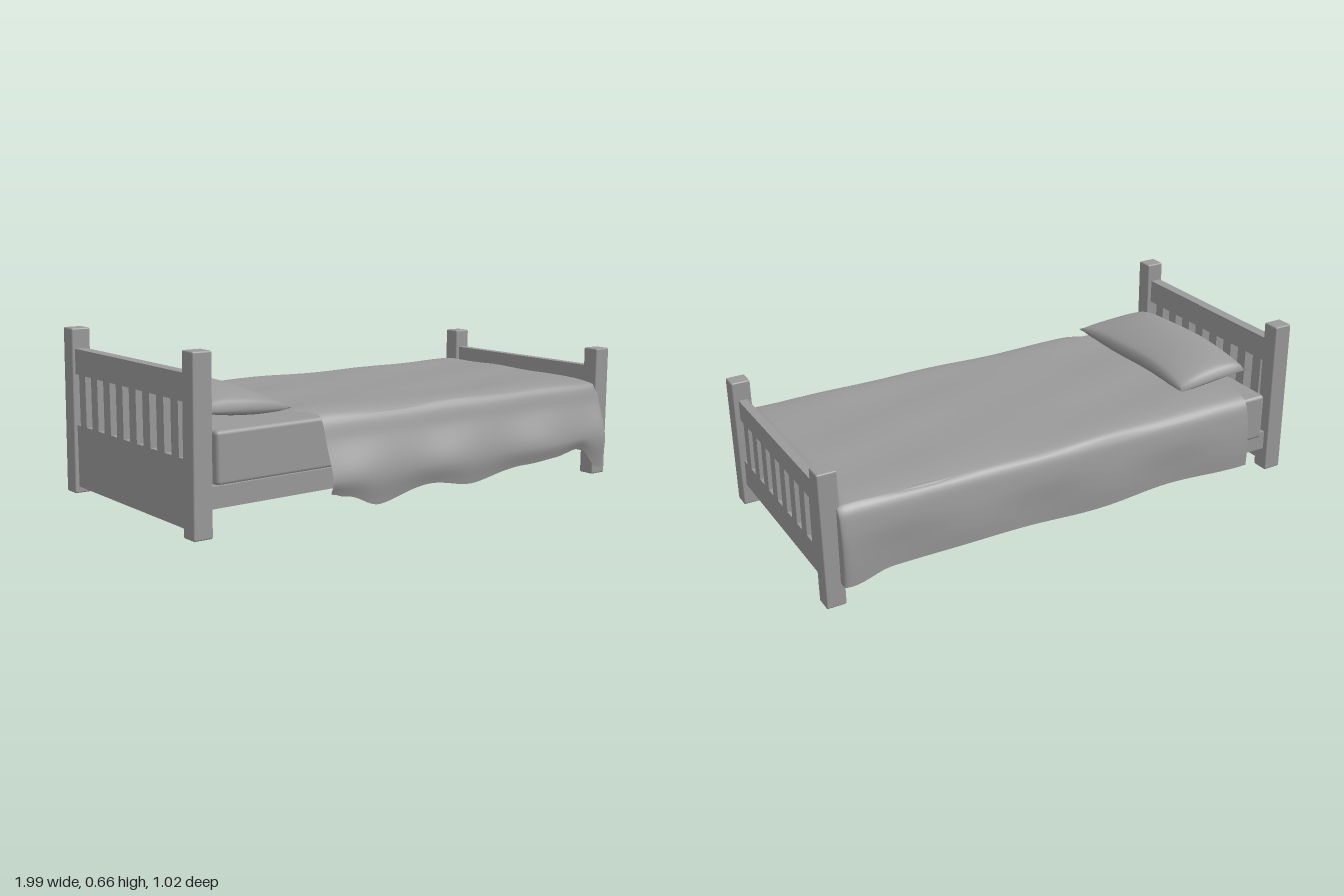
import * as THREE from 'three';
import { mergeGeometries, mergeVertices } from 'three/addons/utils/BufferGeometryUtils.js';
import { RoundedBoxGeometry } from 'three/addons/geometries/RoundedBoxGeometry.js';

const { lerp, smoothstep } = THREE.MathUtils;
const wood = new THREE.MeshStandardMaterial({ color: 0x9a9a9a });
const cloth = new THREE.MeshStandardMaterial({ color: 0x9a9a9a, side: THREE.DoubleSide });

// Box given by its extents on each axis, with optional rounded edges
function block(name, [x0, x1], [y0, y1], [z0, z1], radius = 0) {
  const size = [x1 - x0, y1 - y0, z1 - z0];
  const geo = radius ? new RoundedBoxGeometry(...size, 3, radius) : new THREE.BoxGeometry(...size);
  const mesh = new THREE.Mesh(geo, wood);
  mesh.name = name;
  mesh.position.set((x0 + x1) / 2, (y0 + y1) / 2, (z0 + z1) / 2);
  return mesh;
}

// Grid surface from a rule point(u, v), u and v in 0..1
function sheet(point, nu, nv) {
  const pos = [], index = [];
  for (let i = 0; i <= nu; i++) {
    for (let j = 0; j <= nv; j++) {
      pos.push(...point(i / nu, j / nv));
      if (i < nu && j < nv) {
        const a = i * (nv + 1) + j, b = a + nv + 1;
        index.push(a, a + 1, b, b, a + 1, b + 1);
      }
    }
  }
  const geo = new THREE.BufferGeometry();
  geo.setAttribute('position', new THREE.Float32BufferAttribute(pos, 3));
  geo.setIndex(index);
  return geo;
}

// Smooth interpolation through [x, y] pairs
function follow(table, x) {
  for (let i = 1; i < table.length; i++) {
    const [xa, ya] = table[i - 1], [xb, yb] = table[i];
    if (x <= xb) return ya + (yb - ya) * smoothstep(x, xa, xb);
  }
  return table[table.length - 1][1];
}

// Rectangle path in the (-z, y) plane of an end board
function rectangle(Type, z0, z1, y0, y1) {
  return new Type([[-z1, y0], [-z0, y0], [-z0, y1], [-z1, y1]].map(([a, b]) => new THREE.Vector2(a, b)));
}

// Two slightly leaning posts and a slatted panel between them
function endBoard(name, o) {
  const g = new THREE.Group();
  g.name = name;
  for (const z of o.postZ) {
    const post = block('post', o.postX, o.postY, z, 0.006);
    post.rotation.z = -0.012;
    g.add(post);
  }
  const zBack = o.postZ[0][1] - 0.02, zFront = o.postZ[1][0] + 0.02;
  const shape = rectangle(THREE.Shape, zBack, zFront, o.panelY[0], o.panelY[1]);
  for (let i = 0; i < 9; i++) {
    const z = 0.3643 - i * 0.0946; // gap centre, clipped at the posts
    shape.holes.push(rectangle(THREE.Path, Math.max(z - 0.0233, zBack + 0.008),
      Math.min(z + 0.0233, zFront - 0.008), o.gapY[0], o.gapY[1]));
  }
  const geo = new THREE.ExtrudeGeometry(shape, { depth: o.panelX[1] - o.panelX[0], bevelEnabled: false });
  geo.rotateY(Math.PI / 2).translate(o.panelX[0], 0, 0);
  const panel = new THREE.Mesh(geo, wood);
  panel.name = 'slattedPanel';
  g.add(panel);
  return g;
}

function makeBlanket() {
  const frontHem = [[-0.46, 0.125], [-0.4, 0.11], [-0.25, 0.06], [0, 0.1], [0.2, 0.072], [0.48, 0.105],
    [0.65, 0.112], [0.8, 0.13], [0.9, 0.04]];
  const backHem = [[-0.78, 0.12], [-0.4, 0.13], [0, 0.115], [0.4, 0.13], [0.75, 0.12], [0.9, 0.09]];
  const headEdge = [[-0.5, -0.78], [-0.3, -0.78], [0.3, -0.6], [0.43, -0.46]];
  const cache = new Map();
  // Cross-section from the back hem over the top to the front hem
  const section = (s) => {
    if (!cache.has(s)) {
      const xf = lerp(-0.46, 0.905, s), xb = lerp(-0.78, 0.905, s);
      const top = 0.408 - 0.014 * s;
      const w = 0.007 * Math.sin(xf * 14), wb = 0.006 * Math.sin(xb * 11);
      const pts = [[-0.505 + wb, follow(backHem, xb)], [-0.507 + wb, 0.2], [-0.503, 0.3], [-0.482, 0.375],
        [-0.44, top - 0.005], [-0.2, top], [0, top + 0.002], [0.2, top], [0.385, top - 0.003], [0.428, 0.378],
        [0.455, 0.3], [0.497 + w, 0.17], [0.482 + w, follow(frontHem, xf)]];
      cache.set(s, new THREE.CatmullRomCurve3(pts.map(([z, y]) => new THREE.Vector3(0, y, z))));
    }
    return cache.get(s);
  };
  const body = 0.86; // the rest of the rows wrap round the foot
  return sheet((u, v) => {
    const s = Math.min(u / body, 1);
    let { y, z } = section(s).getPoint(v);
    let x = lerp(v > 0.7 ? -0.46 : v < 0.33 ? -0.78 : follow(headEdge, z), 0.905, s);
    if (y > 0.38) y += 0.004 * Math.sin(x * 9 + z * 7) * Math.sin(z * 11 - x * 3);
    if (u > body) {
      const t = (u - body) / (1 - body);
      const top = smoothstep(v, 0.29, 0.35) * (1 - smoothstep(v, 0.65, 0.73));
      x += 0.028 * Math.sin(Math.min(t * 2.5, 1) * Math.PI / 2);
      // Top hangs down over the foot, sides fold inward round the corner
      const drop = (0.175 + 0.008 * Math.sin(z * 17)) * Math.pow(t, 1.4);
      y -= lerp(0.02 * t * smoothstep(y, 0.25, 0.38), drop, top);
      z = lerp(z, Math.sign(z) * Math.min(Math.abs(z), 0.45), t * t);
    }
    return [x, y, z];
  }, 80, 72);
}

function makePillow() {
  // One half, puffed up or down from the seam
  const half = (side) => sheet((u, v) => {
    const a = (u * 2 - 1) * side, b = v * 2 - 1;
    const x = -0.725 + a * (0.165 - 0.01 * (1 - b * b)) + 0.004 * Math.sin(b * 5);
    const z = 0.014 + b * (0.37 - 0.01 * (1 - a * a)) + 0.01 * a * b;
    const puff = Math.pow((1 - a * a) * (1 - b * b), 0.42);
    const seam = 0.447 - 0.008 * a - 0.01 * b * b;
    const rise = side > 0 ? 0.066 * (1 - 0.3 * a) : -0.05 * (1 + 0.15 * a);
    return [x, Math.max(seam + rise * puff, 0.394), z];
  }, 28, 36);
  return mergeVertices(mergeGeometries([half(1), half(-1)]), 1e-4);
}

export function createModel() {
  const bed = new THREE.Group();
  bed.name = 'bed';

  bed.add(endBoard('headboard', {
    postX: [-0.992, -0.918], postY: [0.04, 0.66], postZ: [[-0.465, -0.397], [0.387, 0.455]],
    panelX: [-0.978, -0.935], panelY: [0.065, 0.585], gapY: [0.3, 0.49],
  }));
  bed.add(endBoard('footboard', {
    postX: [0.918, 0.992], postY: [0, 0.52], postZ: [[-0.468, -0.4], [0.375, 0.442]],
    panelX: [0.938, 0.972], panelY: [0.085, 0.445], gapY: [0.19, 0.365],
  }));

  // Bed base and mattress
  bed.add(block('bedBase', [-0.925, 0.94], [0.13, 0.205], [-0.445, 0.425]));
  bed.add(block('mattress', [-0.88, 0.9], [0.2, 0.386], [-0.475, 0.415], 0.015));

  // Bedding
  for (const [name, geo] of [['blanket', makeBlanket()], ['pillow', makePillow()]]) {
    geo.computeVertexNormals();
    const mesh = new THREE.Mesh(geo, cloth);
    mesh.name = name;
    bed.add(mesh);
  }
  return bed;
}
